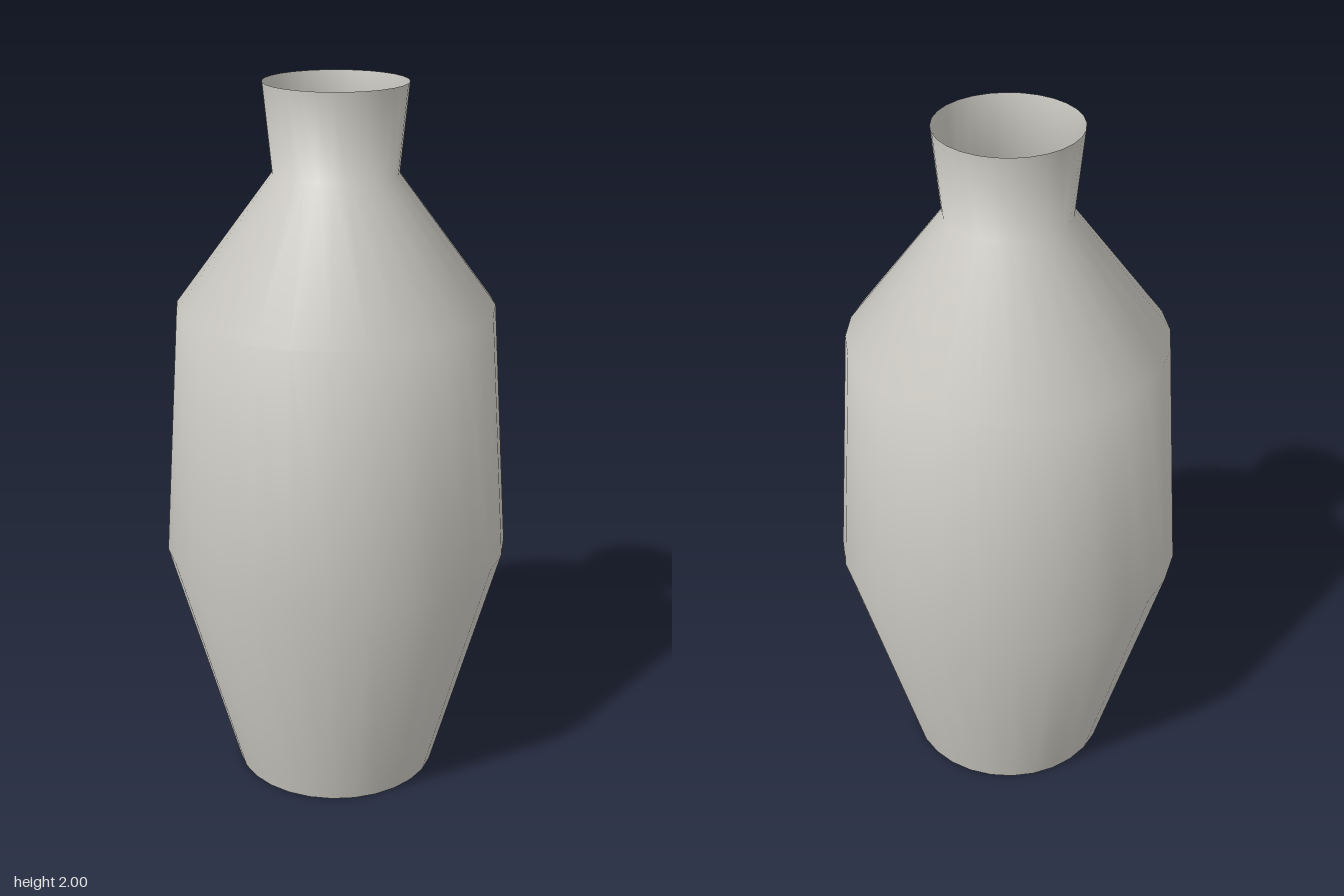
import * as THREE from 'three';

const SEGMENTS = 28;

export function createModel() {
  const model = new THREE.Group();
  model.name = 'vase';

  const ceramic = new THREE.MeshStandardMaterial({ color: 0xcfcdc6, side: THREE.DoubleSide });
  ceramic.name = 'pale grey ceramic';

  // Thin open wall: base, belly, shoulder, neck and flared rim
  const profile = [
    [0.29, 0],
    [0.484, 0.7],
    [0.436, 1.4],
    [0.17, 1.76],
    [0.194, 2],
  ].map(([r, y]) => new THREE.Vector2(r, y));
  const wall = new THREE.Mesh(new THREE.LatheGeometry(profile, SEGMENTS), ceramic);
  wall.name = 'wall';
  model.add(wall);

  // Flat floor, with a crisp edge against the wall
  const floor = new THREE.Mesh(new THREE.CircleGeometry(profile[0].x, SEGMENTS), ceramic);
  floor.name = 'floor';
  floor.rotation.x = Math.PI / 2;
  model.add(floor);

  return model;
}
